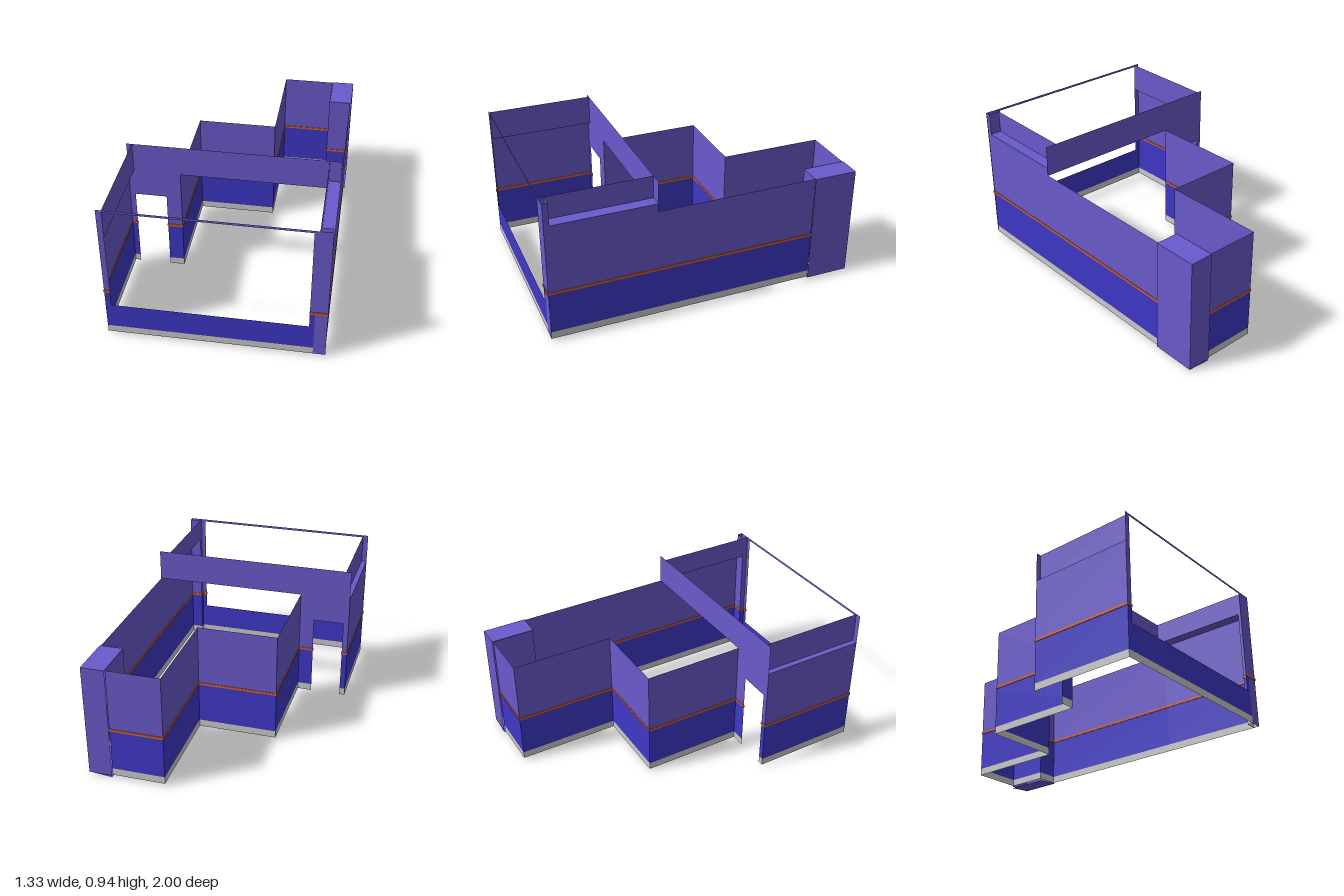
import * as THREE from 'three';

const mat = (color) => new THREE.MeshStandardMaterial({ color, side: THREE.DoubleSide });

export function createModel() {
  const root = new THREE.Group();
  root.name = 'roomShell';
  const purple = mat(0x6a5acd), blue = mat(0x3f38c8), grey = mat(0xcccccc), orange = mat(0xd2602a);

  // Layers of a wall from the floor up: [name, bottom, top, material]
  const layers = [
    ['skirting', 0.025, 0.072, grey],
    ['lowerWall', 0.072, 0.338, blue],
    ['dadoRail', 0.338, 0.354, orange],
    ['upperWall', 0.354, 9, purple],
  ];

  // Upright sheet between two plan points
  function panel(parent, name, [x0, z0], [x1, z1], y0, y1, material) {
    const length = Math.hypot(x1 - x0, z1 - z0);
    const rail = material === orange;
    const geometry = rail
      ? new THREE.BoxGeometry(length + 0.006, y1 - y0, 0.008)
      : new THREE.PlaneGeometry(length, y1 - y0);
    const mesh = new THREE.Mesh(geometry, material);
    mesh.position.set((x0 + x1) / 2, (y0 + y1) / 2, (z0 + z1) / 2);
    mesh.rotation.y = -Math.atan2(z1 - z0, x1 - x0);
    mesh.name = name;
    parent.add(mesh);
  }

  // Layered wall cut off at a given height
  function wall(name, a, b, top, from = 0.025) {
    const group = new THREE.Group();
    group.name = name;
    for (const [part, y0, y1, material] of layers) {
      const lo = Math.max(y0, from), hi = Math.min(y1, top);
      if (hi > lo) panel(group, part, a, b, lo, hi, material);
    }
    root.add(group);
  }

  // Level sheet
  function ledge(name, x0, x1, z0, z1, y) {
    const geometry = new THREE.PlaneGeometry(x1 - x0, z1 - z0).rotateX(-Math.PI / 2);
    const mesh = new THREE.Mesh(geometry, purple);
    mesh.position.set((x0 + x1) / 2, y, (z0 + z1) / 2);
    mesh.name = name;
    root.add(mesh);
  }

  const LOW = 0.747, HIGH = 0.945, L = -0.665, R = 0.652, D = 0.32;

  // Stepped back walls, from the doorway round to the column and the right front
  const plan = [[-0.43, D], [-0.335, D], [-0.335, -0.33], [0.175, -0.33], [0.175, -0.99],
    [0.51, -0.99], [0.51, -0.718], [R, -0.718], [R, D]];
  for (let i = 0; i < plan.length - 1; i++) wall('backWall' + (i + 1), plan[i], plan[i + 1], LOW);

  // Doorway jamb and the high lintel across the room
  wall('doorJamb', [L, D], [-0.63, D], HIGH);
  panel(root, 'doorLintel', [-0.63, D], [-0.43, D], 0.57, HIGH, purple);
  panel(root, 'doorLintelSide', [-0.43, D], [-0.335, D], LOW, HIGH, purple);
  panel(root, 'crossLintel', [-0.335, D], [0.655, D], LOW, HIGH, purple);

  // Left side wall with its upper part set inward
  wall('leftWall', [L, D], [L, 1], 0.75);
  ledge('leftLedge', L, -0.63, D, 1, 0.75);
  panel(root, 'leftUpperWall', [-0.63, D], [-0.63, 1], 0.75, HIGH, purple);

  // Right side wall with its upper part set inward
  wall('rightWall', [R, D], [R, 0.965], 0.8);
  ledge('rightLedge', 0.58, 0.655, D, 0.965, 0.8);
  panel(root, 'rightUpperWall', [0.58, D], [0.58, 0.965], 0.8, HIGH, purple);

  // Front wall around the large window
  wall('frontSill', [L, 1], [0.55, 1], 0.24);
  wall('frontLeftPost', [L, 1], [-0.63, 1], HIGH, 0.24);
  wall('frontRightPost', [0.55, 1], [0.58, 1], HIGH);
  panel(root, 'windowHead', [-0.63, 1], [0.55, 1], 0.93, HIGH, purple);

  // Boxed pillar in the right front corner
  panel(root, 'cornerPillarBase', [0.58, 1], [0.655, 1], 0.025, 0.338, purple);
  wall('cornerPillarFront', [0.58, 1], [0.655, 1], HIGH, 0.338);
  wall('cornerPillarSide', [R, 0.965], [R, 1], HIGH);
  wall('cornerPillarBack', [0.58, 0.965], [R, 0.965], HIGH);
  wall('cornerPillarInside', [0.58, 0.965], [0.58, 1], HIGH);

  // Plain column at the back: outer faces, top and slightly sloping underside
  const c = { x0: 0.512, x1: 0.66, z0: -0.997, z1: -0.715 };
  panel(root, 'columnBack', [c.x0, c.z0], [c.x1, c.z0], 0.022, LOW, purple);
  panel(root, 'columnSide', [c.x1, c.z0], [c.x1, c.z1], 0.022, LOW, purple);
  ledge('columnTop', c.x0, c.x1, c.z0, c.z1, LOW);
  const base = new THREE.PlaneGeometry(c.x1 - c.x0, c.z1 - c.z0).rotateX(Math.PI / 2);
  const p = base.attributes.position;
  for (let i = 0; i < p.count; i++) p.setY(i, p.getX(i) < 0 ? 0.01 : 0.024);
  base.computeVertexNormals();
  const underside = new THREE.Mesh(base, purple);
  underside.name = 'columnUnderside';
  underside.position.set((c.x0 + c.x1) / 2, 0, (c.z0 + c.z1) / 2);
  root.add(underside);

  return root;
}
